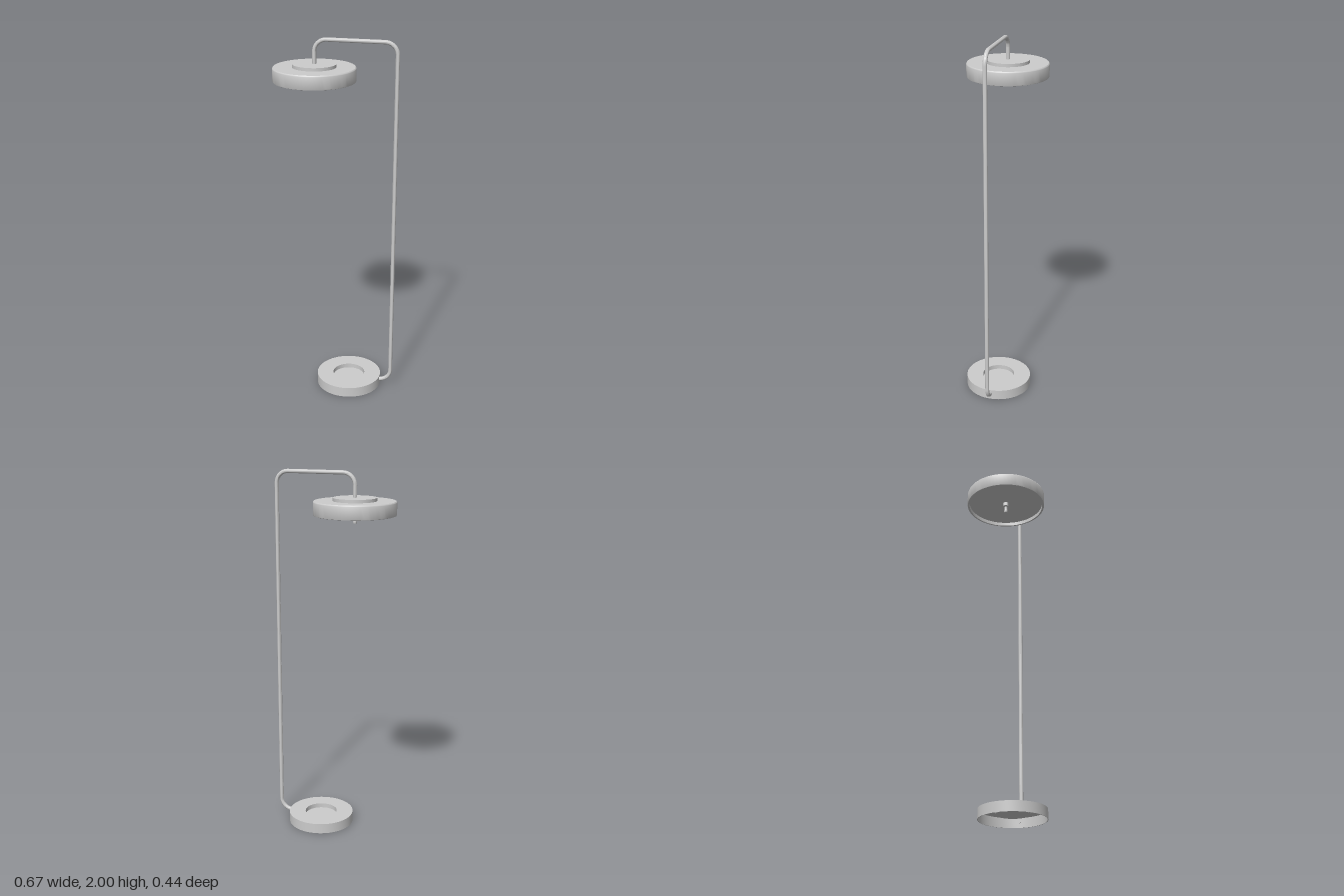
import * as THREE from 'three';
import { toCreasedNormals } from 'three/addons/utils/BufferGeometryUtils.js';

const material = new THREE.MeshStandardMaterial({ color: 0xcccccc, side: THREE.DoubleSide });

function addMesh(parent, name, geometry, x = 0) {
  const mesh = new THREE.Mesh(geometry, material);
  mesh.name = name;
  mesh.position.x = x;
  parent.add(mesh);
  return mesh;
}

// Turned part from [radius, y] points, listed from the underside up and back to the axis
function turned(points, segments = 72) {
  const profile = points.map(([r, y]) => new THREE.Vector2(r, y));
  return toCreasedNormals(new THREE.LatheGeometry(profile, segments), 0.6);
}

// Points along a polyline whose inner corners are rounded with quarter arcs
function roundedPath(corners, radius, steps = 12) {
  const path = [corners[0]];
  for (let i = 1; i < corners.length - 1; i++) {
    const c = corners[i];
    const a = corners[i - 1].clone().sub(c).setLength(radius);
    const b = corners[i + 1].clone().sub(c).setLength(radius);
    const centre = c.clone().add(a).add(b);
    for (let s = 0; s <= steps; s++) {
      const t = (s / steps) * Math.PI / 2;
      path.push(centre.clone().addScaledVector(b, -Math.cos(t)).addScaledVector(a, -Math.sin(t)));
    }
  }
  path.push(corners[corners.length - 1]);
  return path;
}

// Round pipe swept along planar points, with mitred rings and closed ends
function pipe(points, radius, sides = 20) {
  const position = [], index = [];
  const n = points.length;
  points.forEach((p, i) => {
    const tangent = points[Math.min(i + 1, n - 1)].clone().sub(points[Math.max(i - 1, 0)]).normalize();
    const normal = new THREE.Vector3(-tangent.y, tangent.x, 0);
    for (let j = 0; j < sides; j++) {
      const t = (j / sides) * Math.PI * 2;
      const q = p.clone().addScaledVector(normal, Math.cos(t) * radius);
      position.push(q.x, q.y, Math.sin(t) * radius);
      if (i < n - 1) {
        const k = i * sides + j, m = i * sides + (j + 1) % sides;
        index.push(k, m, k + sides, m, m + sides, k + sides);
      }
    }
  });
  for (let j = 1; j < sides - 1; j++) {
    const e = (n - 1) * sides;
    index.push(0, j + 1, j, e, e + j, e + j + 1);
  }
  const geometry = new THREE.BufferGeometry();
  geometry.setAttribute('position', new THREE.Float32BufferAttribute(position, 3));
  geometry.setIndex(index);
  return toCreasedNormals(geometry, 0.7);
}

export function createModel() {
  const lamp = new THREE.Group();
  lamp.name = 'floorLamp';
  const baseX = 0.078, headX = -0.116, poleX = 0.322;

  // Hollow base with a shallow round tray sunk in its top
  addMesh(lamp, 'base', turned([
    [0, 0.028], [0.092, 0.028], [0.092, 0.053], [0.179, 0.053], [0.179, 0],
    [0.182, 0], [0.182, 0.056], [0.09, 0.056], [0.09, 0.031], [0, 0.031],
  ]), baseX);

  // Bent pole from the side of the base to the top of the head
  const V = (x, y) => new THREE.Vector3(x, y, 0);
  const corners = [V(0.252, 0.036), V(poleX, 0.036), V(poleX, 1.989), V(headX, 1.989), V(headX, 1.855)];
  addMesh(lamp, 'pole', pipe(roundedPath(corners, 0.065), 0.011));

  // Lamp head: softened drum with a recessed underside
  const head = new THREE.Group();
  head.name = 'head';
  head.position.x = headX;
  lamp.add(head);
  addMesh(head, 'shade', turned([
    [0, 1.79], [0.208, 1.79], [0.208, 1.77], [0.215, 1.77], [0.2185, 1.7715], [0.22, 1.775],
    [0.22, 1.838], [0.2185, 1.842], [0.215, 1.845], [0, 1.845],
  ]));
  addMesh(head, 'canopy', turned([[0, 1.843], [0.116, 1.843], [0.116, 1.862], [0, 1.862]]));

  // Small pull knob under the shade
  addMesh(head, 'knob', turned([
    [0, 1.727], [0.009, 1.727], [0.01, 1.729], [0.01, 1.742], [0.008, 1.746],
    [0.008, 1.765], [0.016, 1.769], [0.016, 1.791], [0, 1.791],
  ], 24));

  return lamp;
}
